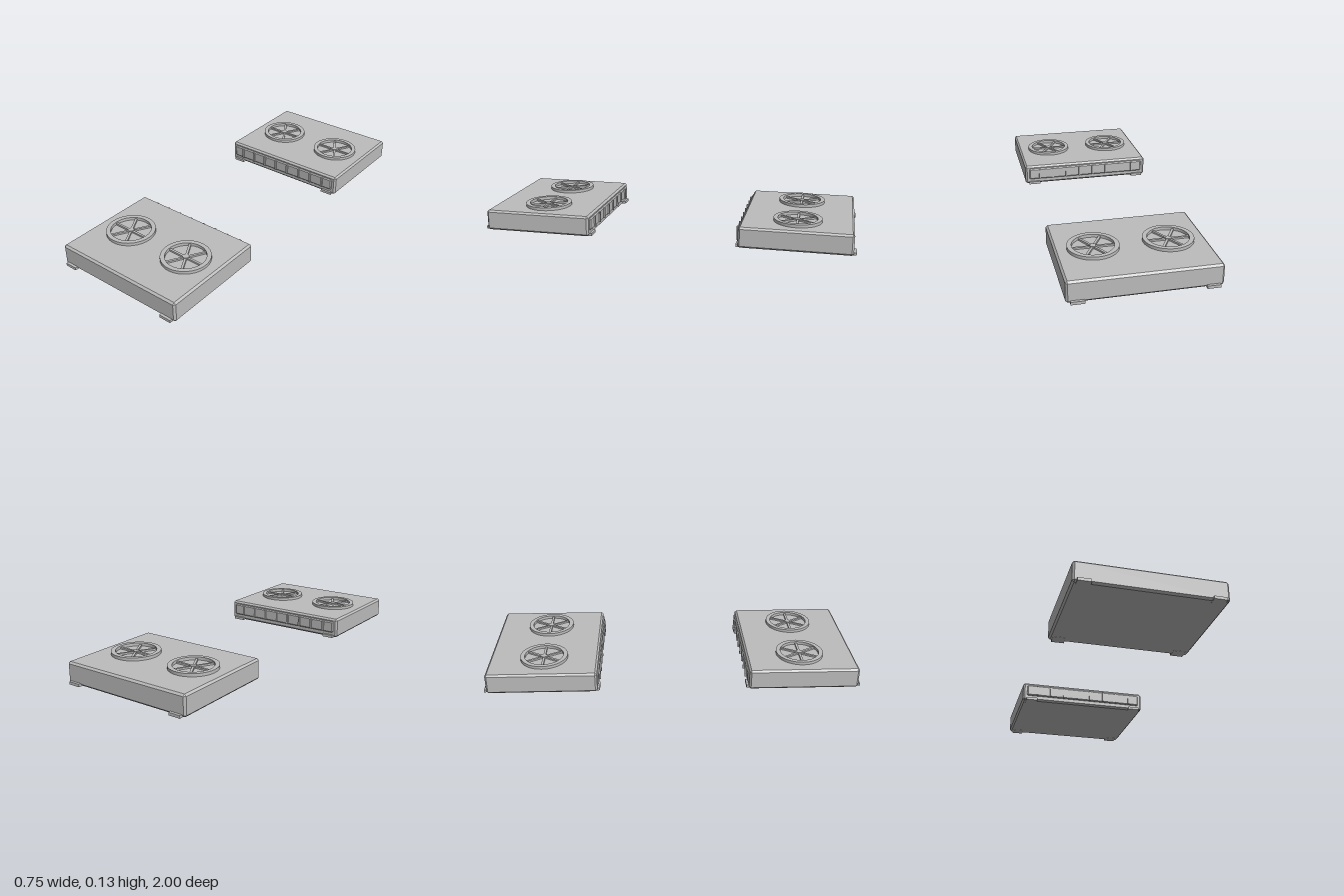
import * as THREE from 'three';
import { toCreasedNormals } from 'three/addons/utils/BufferGeometryUtils.js';
import { ConvexGeometry } from 'three/addons/geometries/ConvexGeometry.js';

const grey = new THREE.MeshStandardMaterial({ color: 0xbcbcbc });
grey.name = 'casing grey';

function add(parent, name, geometry, x = 0, y = 0, z = 0) {
  const mesh = new THREE.Mesh(geometry, grey);
  mesh.name = name;
  mesh.position.set(x, y, z);
  parent.add(mesh);
  return mesh;
}

// Box with every edge cut at 45 degrees
function chamferBox(w, h, d, c) {
  const points = [];
  for (const sx of [-1, 1]) for (const sy of [-1, 1]) for (const sz of [-1, 1]) {
    const x = w / 2, y = h / 2, z = d / 2;
    points.push(
      new THREE.Vector3(sx * x, sy * (y - c), sz * (z - c)),
      new THREE.Vector3(sx * (x - c), sy * y, sz * (z - c)),
      new THREE.Vector3(sx * (x - c), sy * (y - c), sz * z));
  }
  return new ConvexGeometry(points);
}

// Raised round collar with six blades and a small hub inside
function makeFan() {
  const fan = new THREE.Group();
  fan.name = 'fan';
  const outline = new THREE.Shape().absarc(0, 0, 0.127, 0, Math.PI * 2);
  outline.holes.push(new THREE.Path().absarc(0, 0, 0.104, 0, Math.PI * 2, true));
  const collar = new THREE.ExtrudeGeometry(outline, { depth: 0.018, bevelEnabled: false, curveSegments: 24 });
  collar.rotateX(-Math.PI / 2);
  add(fan, 'fanCollar', toCreasedNormals(collar, 0.6), 0, -0.002, 0);
  for (let i = 0; i < 3; i++) {
    add(fan, 'fanBlades', new THREE.BoxGeometry(0.208, 0.01, 0.012), 0, 0.004, 0).rotation.y = i * Math.PI / 3;
  }
  add(fan, 'fanHub', new THREE.CylinderGeometry(0.016, 0.016, 0.014, 16), 0, 0.005, 0);
  return fan;
}

// One unit: outer side towards +z, grille towards -z
function makeUnit() {
  const unit = new THREE.Group();
  add(unit, 'casing', chamferBox(0.746, 0.111, 0.584, 0.01), 0, 0.0565, 0.694);

  for (const side of [-1, 1]) {
    const fan = makeFan();
    fan.position.set(side * 0.187, 0.112, 0.694);
    unit.add(fan);
    for (const z of [0.97, 0.42]) {
      add(unit, 'foot', new THREE.BoxGeometry(0.066, 0.015, 0.06), side * 0.32, 0.0075, z);
    }
  }

  // Grille panel with vertical ribs
  add(unit, 'grillePanel', chamferBox(0.7, 0.066, 0.024, 0.006), 0, 0.063, 0.406);
  for (let i = 0; i < 8; i++) {
    add(unit, 'grilleRib', new THREE.BoxGeometry(0.01, 0.058, 0.02), (i - 3.5) * 0.082, 0.063, 0.396);
  }
  return unit;
}

export function createModel() {
  const model = new THREE.Group();
  model.name = 'twinRooftopUnits';
  const front = makeUnit();
  front.name = 'frontUnit';
  const back = makeUnit();
  back.name = 'backUnit';
  back.rotation.y = Math.PI;
  model.add(front, back);
  return model;
}
